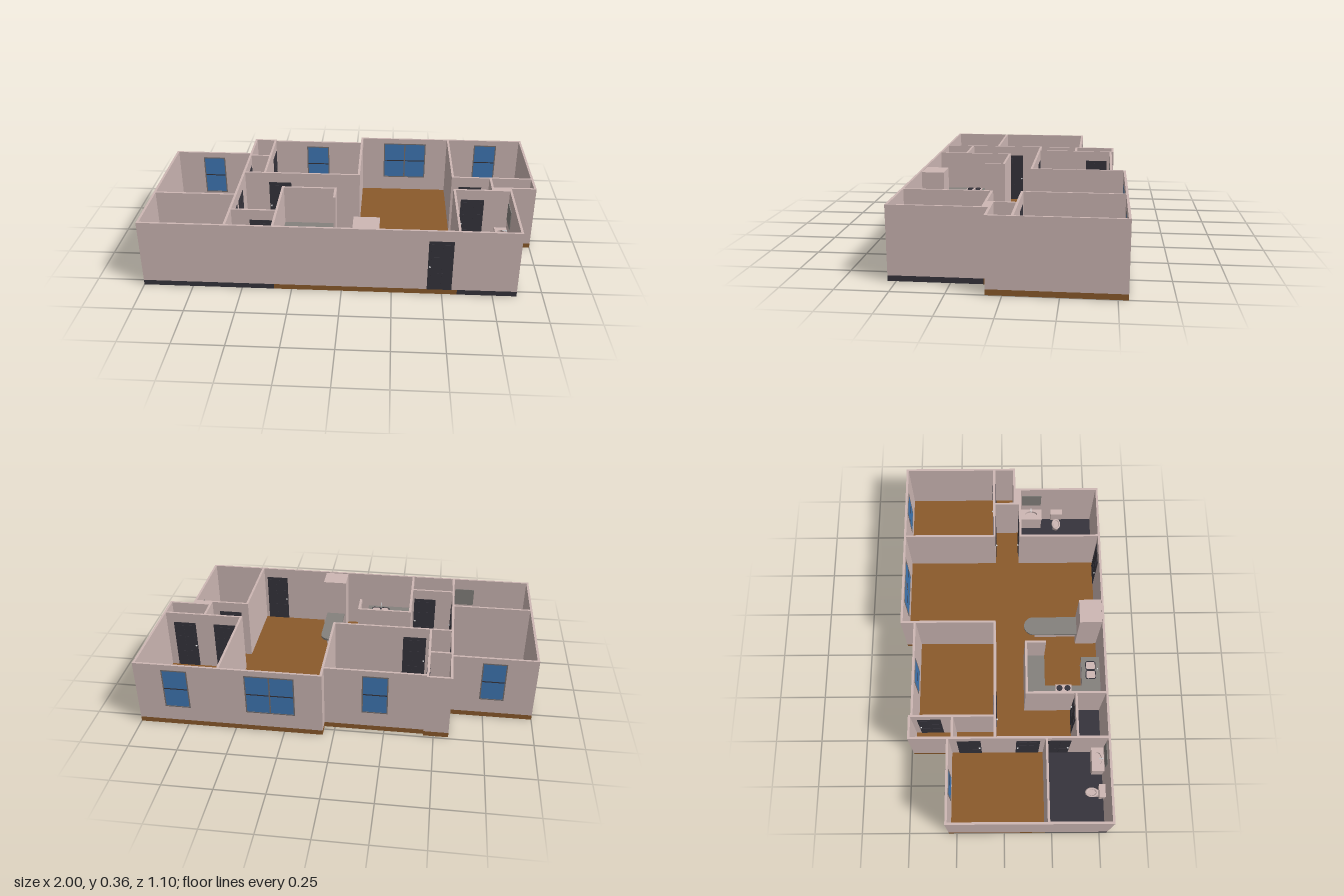
import * as THREE from 'three';

const mat = (name, color) => {
  const m = new THREE.MeshStandardMaterial({ color });
  m.name = name;
  return m;
};

export function createModel() {
  const wallMat = mat('palePlaster', 0xcdb7b4);
  const wood = mat('brownFloor', 0x8b5a2b);
  const dark = mat('charcoal', 0x36343c);
  const stone = mat('greyStone', 0x84817d);
  const glass = mat('blueGlass', 0x3f78b5);
  const frameMat = mat('frameGrey', 0x77706f);
  const metal = mat('lightMetal', 0xd8d8da);

  const FLOOR = 0.027, TOP = 0.36, T = 0.012;
  const model = new THREE.Group();
  model.name = 'floorPlanHouse';

  const add = (parent, name, geo, material, x = 0, y = 0, z = 0) => {
    const m = new THREE.Mesh(geo, material);
    m.name = name;
    m.position.set(x, y, z);
    parent.add(m);
    return m;
  };
  // box given by its limits on each axis
  const block = (parent, name, material, x0, x1, y0, y1, z0, z1) =>
    add(parent, name, new THREE.BoxGeometry(x1 - x0, y1 - y0, z1 - z0), material,
      (x0 + x1) / 2, (y0 + y1) / 2, (z0 + z1) / 2);
  const group = (name, x = 0, y = 0, z = 0, turn = 0) => {
    const g = new THREE.Group();
    g.name = name;
    g.position.set(x, y, z);
    g.rotation.y = turn;
    model.add(g);
    return g;
  };
  // flat slab from a plan outline in x and z, with its top at the given height
  const slab = (parent, name, material, shape, top, thick) => {
    const geo = new THREE.ExtrudeGeometry(shape, { depth: thick, bevelEnabled: false, curveSegments: 16 });
    geo.rotateX(Math.PI / 2);
    return add(parent, name, geo, material, 0, top, 0);
  };
  const outline = pts => new THREE.Shape(pts.map(p => new THREE.Vector2(p[0], p[1])));
  const roundRect = (w, d, r, Type = THREE.Shape) => {
    const s = new Type(), a = w / 2 - r, b = d / 2 - r;
    s.absarc(a, b, r, 0, Math.PI / 2);
    s.absarc(-a, b, r, Math.PI / 2, Math.PI);
    s.absarc(-a, -b, r, Math.PI, Math.PI * 1.5);
    s.absarc(a, -b, r, Math.PI * 1.5, Math.PI * 2);
    s.closePath();
    return s;
  };

  // Floors: timber in the living spaces, dark tile in the wet rooms
  slab(model, 'timberFloor', wood, outline([
    [-1, -0.292], [-0.575, -0.292], [-0.575, -0.488], [-0.449, -0.488], [-0.449, -0.476], [0.054, -0.476],
    [0.054, -0.546], [1, -0.546], [1, 0.075], [0.87, 0.075], [0.87, 0.1], [0.575, 0.1], [0.575, 0.54],
    [-0.338, 0.54], [-0.338, 0.375], [-0.57, 0.375], [-0.57, 0.215], [-1, 0.215]]), FLOOR, FLOOR);
  block(model, 'leftBathFloor', dark, -1, -0.57, 0, FLOOR, 0.215, 0.54);
  block(model, 'utilityFloor', dark, -0.57, -0.338, 0, FLOOR, 0.375, 0.54);
  block(model, 'rightBathFloor', dark, 0.575, 0.87, 0, FLOOR, 0.1, 0.54);

  // Walls along x: [x0, x1, z centre]
  const walls = group('walls');
  const h = T / 2;
  for (const [x0, x1, z] of [
    [-1, 0.87, 0.534], [-1, -0.564, -0.286], [-0.575, -0.449, -0.482], [-0.449, 0.066, -0.47],
    [0.054, 1, -0.54], [0.77, 1, 0.069], [-1, -0.57, 0.217], [-0.57, -0.455, -0.263],
    [-0.57, 0.066, -0.045], [0.564, 1, -0.045], [0.564, 0.77, 0.1], [-0.57, -0.333, 0.375], [-0.338, -0.05, 0.12],
  ]) block(walls, 'wall', wallMat, x0, x1, FLOOR, TOP, z - h, z + h);
  // Walls along z: [x centre, z0, z1]
  for (const [x, z0, z1] of [
    [-0.994, -0.292, 0.54], [-0.569, -0.488, 0.54], [-0.455, -0.488, -0.039], [0.06, -0.546, -0.039],
    [0.994, -0.546, 0.075], [0.864, 0.063, 0.54], [0.57, -0.546, -0.039], [0.57, 0.094, 0.54],
    [0.772, -0.045, 0.106], [-0.334, 0.114, 0.54], [-0.055, 0.114, 0.226],
  ]) block(walls, 'wall', wallMat, x - h, x + h, FLOOR, TOP, z0, z1);
  block(walls, 'thickWall', wallMat, 0.766, 0.87, FLOOR, TOP, 0.07, 0.106);

  // Doors, seen from both sides; local x runs along the wall, knobEnd is -1 or 1
  const door = (name, x, z, alongZ, knobEnd) => {
    const g = group(name, x, FLOOR, z, alongZ ? -Math.PI / 2 : 0);
    const w = 0.122, tall = 0.277;
    block(g, 'doorLeaf', dark, -w / 2, w / 2, 0, tall, -0.008, 0.008);
    for (const sx of [-1, 1])
      for (const [y0, y1] of [[0.02, 0.095], [0.11, 0.19], [0.205, 0.26]])
        block(g, 'doorPanel', dark, sx * 0.027 - 0.02, sx * 0.027 + 0.02, y0, y1, -0.0095, 0.0095);
    for (const side of [-1, 1])
      add(g, 'doorKnob', new THREE.SphereGeometry(0.005, 12, 8), metal, knobEnd * 0.052, 0.133, side * 0.011);
  };
  door('frontDoor', 0.486, 0.534, false, -1);
  door('bedroomDoorMiddle', -0.372, -0.045, false, -1);
  door('utilityDoor', -0.41, 0.375, false, 1);
  door('bedroomDoorRight', 0.665, -0.045, false, -1);
  door('closetDoorRight', 0.888, -0.045, false, -1);
  door('bathDoorRight', 0.667, 0.1, false, -1);
  door('closetDoorLeft', -0.569, -0.18, true, 1);
  door('bedroomDoorLeft', -0.569, 0.125, true, -1);
  door('bathDoorLeft', -0.569, 0.285, true, 1);
  door('closetDoorMiddle', -0.455, -0.387, true, -1);

  // Sash windows in the back walls
  const sash = (name, x, z, w) => {
    const g = group(name, x, 0, z);
    const y0 = 0.112, y1 = 0.328, b = 0.006, mid = (y0 + y1) / 2;
    block(g, 'pane', glass, -w / 2, w / 2, y0, y1, -0.0072, 0.0072);
    for (const s of [-1, 1])
      block(g, 'frameSide', frameMat, s * w / 2 - b / 2, s * w / 2 + b / 2, y0 - b / 2, y1 + b / 2, -0.0085, 0.0085);
    for (const y of [y0, y1])
      block(g, 'frameRail', frameMat, -w / 2, w / 2, y - b / 2, y + b / 2, -0.0085, 0.0085);
    block(g, 'meetingRail', dark, -w / 2 + b / 2, w / 2 - b / 2, mid - 0.003, mid + 0.003, -0.008, 0.008);
  };
  sash('windowLeft', -0.785, -0.286, 0.118);
  sash('windowMiddle', -0.2, -0.47, 0.125);
  sash('windowLivingA', 0.255, -0.54, 0.121);
  sash('windowLivingB', 0.377, -0.54, 0.121);
  sash('windowRight', 0.793, -0.54, 0.125);

  // Kitchen: U-shaped worktop over cabinets
  const kitchen = group('kitchen');
  const CT = 0.15;
  slab(kitchen, 'worktop', stone, outline([[-0.328, 0.126], [-0.061, 0.126], [-0.061, 0.226], [-0.235, 0.226],
    [-0.235, 0.428], [-0.072, 0.428], [-0.072, 0.528], [-0.328, 0.528]]), CT, 0.01);
  for (const [x0, x1, z0, z1] of [[-0.328, -0.064, 0.126, 0.221], [-0.328, -0.24, 0.221, 0.433], [-0.328, -0.077, 0.433, 0.528]])
    block(kitchen, 'cabinet', wallMat, x0, x1, FLOOR, CT - 0.01, z0, z1);
  // Cooker with four burners
  block(kitchen, 'cooker', wallMat, -0.312, -0.23, FLOOR, CT + 0.004, 0.282, 0.37);
  for (const x of [-0.29, -0.25]) for (const z of [0.304, 0.348])
    add(kitchen, 'burner', new THREE.CylinderGeometry(0.016, 0.016, 0.004, 20), dark, x, CT + 0.006, z);
  // Twin sink bowls and tap
  for (const x of [-0.174, -0.122]) {
    const rim = roundRect(0.05, 0.056, 0.012);
    rim.holes.push(roundRect(0.043, 0.049, 0.01, THREE.Path));
    slab(kitchen, 'sinkRim', dark, rim, CT + 0.005, 0.005).position.set(x, CT + 0.005, 0.478);
    slab(kitchen, 'sinkBowl', wallMat, roundRect(0.043, 0.049, 0.01), 0, 0.002).position.set(x, CT + 0.002, 0.478);
  }
  add(kitchen, 'tap', new THREE.CylinderGeometry(0.003, 0.003, 0.03, 10), metal, -0.148, CT + 0.015, 0.513);

  // Breakfast bar with a rounded end against a tall cupboard
  const bar = (r, back) => {
    const s = new THREE.Shape();
    s.moveTo(r, 0.41);
    s.lineTo(-r, 0.41);
    s.lineTo(-r, back + r);
    s.absarc(0, back + r, r, Math.PI, Math.PI * 2);
    return s;
  };
  slab(kitchen, 'barTop', stone, bar(0.051, 0.118), CT, 0.012).position.x = 0.115;
  block(kitchen, 'barLeg', wallMat, 0.095, 0.135, FLOOR, CT - 0.012, 0.18, 0.41);
  block(kitchen, 'tallCupboard', wallMat, 0.054, 0.184, FLOOR, 0.355, 0.41, 0.53);

  // Bathroom fittings; local -z points into the room, local z = 0 is the wall
  const toilet = (x, z, turn) => {
    const g = group('toilet', x, FLOOR, z, turn);
    block(g, 'cistern', wallMat, -0.032, 0.032, 0.045, 0.11, -0.03, 0);
    block(g, 'cisternLid', wallMat, -0.034, 0.034, 0.11, 0.116, -0.033, 0);
    block(g, 'foot', wallMat, -0.016, 0.016, 0, 0.05, -0.07, -0.005);
    const bowl = add(g, 'bowl', new THREE.CylinderGeometry(0.026, 0.015, 0.045, 24), wallMat, 0, 0.036, -0.066);
    bowl.scale.z = 1.35;
    const seat = add(g, 'seat', new THREE.TorusGeometry(0.021, 0.005, 8, 24), wallMat, 0, 0.059, -0.066);
    seat.rotation.x = Math.PI / 2;
    seat.scale.y = 1.35;
  };
  toilet(-0.803, 0.528, 0);
  toilet(0.858, 0.32, Math.PI / 2);

  const vanity = (x, z, turn) => {
    const g = group('vanity', x, FLOOR, z, turn);
    block(g, 'vanityCabinet', wallMat, -0.06, 0.06, 0, 0.1, -0.06, 0);
    const top = outline([[-0.063, -0.065], [0.063, -0.065], [0.063, 0], [-0.063, 0]]);
    const hole = new THREE.Path();
    hole.absellipse(0, -0.034, 0.036, 0.022, 0, Math.PI * 2);
    top.holes.push(hole);
    slab(g, 'vanityTop', wallMat, top, 0.115, 0.015);
    add(g, 'tap', new THREE.CylinderGeometry(0.003, 0.003, 0.022, 10), metal, 0, 0.124, -0.008);
    block(g, 'spout', metal, -0.002, 0.002, 0.131, 0.135, -0.028, -0.006);
    block(g, 'mirror', stone, -0.055, 0.055, 0.17, 0.27, -0.004, 0);
  };
  vanity(-0.638, 0.528, 0);
  vanity(0.858, 0.17, Math.PI / 2);

  return model;
}
